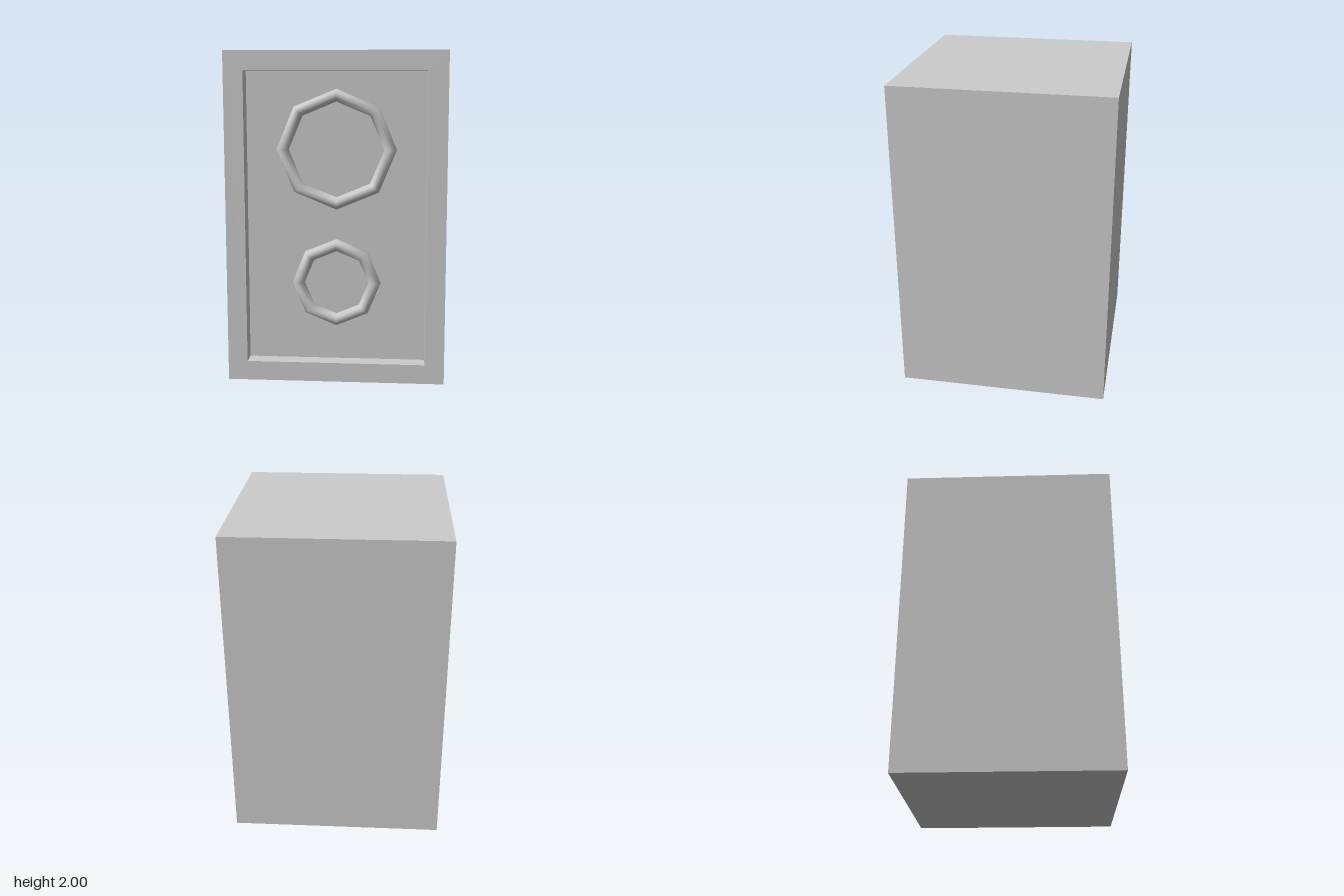
import * as THREE from 'three';

const HALF = 0.66, HEIGHT = 2, MARGIN = 0.118, RECESS = 0.1;
const PANEL_Z = HALF - RECESS;

// Corners of an upright rectangle, counter-clockwise seen from the front
function rectangle(inset, z) {
  const x = HALF - inset, y0 = inset, y1 = HEIGHT - inset;
  return [[-x, y0, z], [x, y0, z], [x, y1, z], [-x, y1, z]];
}

// Skin between successive rectangles, closed at both ends, with flat faces
function loft(sections) {
  const positions = [];
  const quad = (a, b, c, d) => positions.push(...a, ...b, ...c, ...a, ...c, ...d);
  for (let s = 0; s < sections.length - 1; s++) {
    const p = sections[s], q = sections[s + 1];
    for (let i = 0; i < 4; i++) {
      const j = (i + 1) % 4;
      quad(p[i], p[j], q[j], q[i]);
    }
  }
  const [a, b, c, d] = sections[0];
  quad(d, c, b, a);
  quad(...sections[sections.length - 1]);
  const geometry = new THREE.BufferGeometry();
  geometry.setAttribute('position', new THREE.Float32BufferAttribute(positions, 3));
  geometry.computeVertexNormals();
  return geometry;
}

export function createModel() {
  const model = new THREE.Group();
  model.name = 'loudspeaker';
  const material = new THREE.MeshStandardMaterial({ color: 0xcccccc });

  // Cabinet: back, outer walls, front rim, recess walls and sunken front panel
  const cabinet = new THREE.Mesh(loft([
    rectangle(0, -HALF),
    rectangle(0, HALF),
    rectangle(MARGIN, HALF),
    rectangle(MARGIN, PANEL_Z),
  ]), material);
  cabinet.name = 'cabinet';
  model.add(cabinet);

  // Eight-sided driver rings, half sunk into the panel
  const rings = [
    { name: 'upperDriverRing', radius: 0.325, y: 1.415 },
    { name: 'lowerDriverRing', radius: 0.233, y: 0.6 },
  ];
  for (const { name, radius, y } of rings) {
    const ring = new THREE.Mesh(new THREE.TorusGeometry(radius, 0.038, 12, 8), material);
    ring.name = name;
    ring.position.set(0, y, PANEL_Z);
    model.add(ring);
  }

  return model;
}
